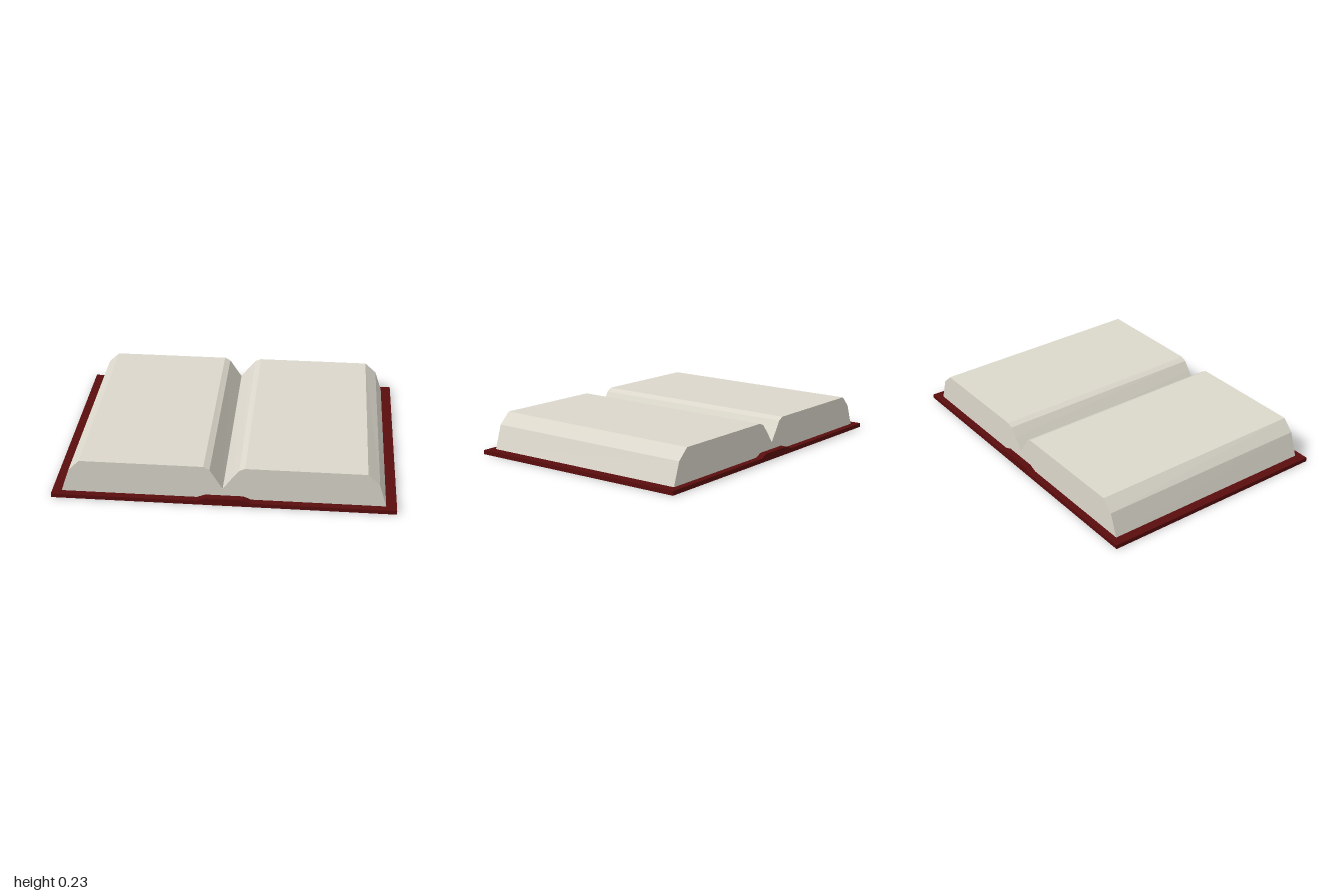
import * as THREE from 'three';

const coverMaterial = new THREE.MeshStandardMaterial({ color: 0x5a0c0d });
coverMaterial.name = 'dark red cover';
const paperMaterial = new THREE.MeshStandardMaterial({ color: 0xdbd7cb });
paperMaterial.name = 'cream paper';

// Extrudes an x-y outline from the back edge to the front edge
function prism(name, points, back, front, material) {
  const shape = new THREE.Shape(points.map(([x, y]) => new THREE.Vector2(x, y)));
  const geometry = new THREE.ExtrudeGeometry(shape, { depth: front - back, bevelEnabled: false });
  geometry.translate(0, 0, back);
  const mesh = new THREE.Mesh(geometry, material);
  mesh.name = name;
  return mesh;
}

export function createModel() {
  const book = new THREE.Group();
  book.name = 'openBook';

  // Flat boards with a raised spine in the middle
  book.add(prism('cover', [
    [-1, 0], [1, 0], [1, 0.025], [0.165, 0.025], [0.12, 0.045],
    [-0.1, 0.045], [-0.15, 0.025], [-1, 0.025],
  ], -0.715, 0.71, coverMaterial));

  // Page blocks, bevelled outside and rounded into the central fold
  const back = -0.675, front = 0.67;
  const blocks = [
    prism('rightPages', [
      [-0.945, 0.022], [0, 0.022], [0, 0.09], [-0.075, 0.215],
      [-0.11, 0.235], [-0.83, 0.235], [-0.895, 0.167],
    ], back, front, paperMaterial),
    prism('leftPages', [
      [0, 0.022], [0.94, 0.022], [0.895, 0.167], [0.825, 0.235],
      [0.13, 0.235], [0.095, 0.22], [0.055, 0.168], [0, 0.09],
    ], back, front, paperMaterial),
  ];

  // The page tops fall slightly towards the back
  for (const block of blocks) {
    const position = block.geometry.attributes.position;
    for (let i = 0; i < position.count; i++) {
      const y = position.getY(i);
      const t = (front - position.getZ(i)) / (front - back);
      position.setY(i, y - 0.015 * t * (y - 0.022) / 0.213);
    }
    block.geometry.computeVertexNormals();
    book.add(block);
  }
  return book;
}
